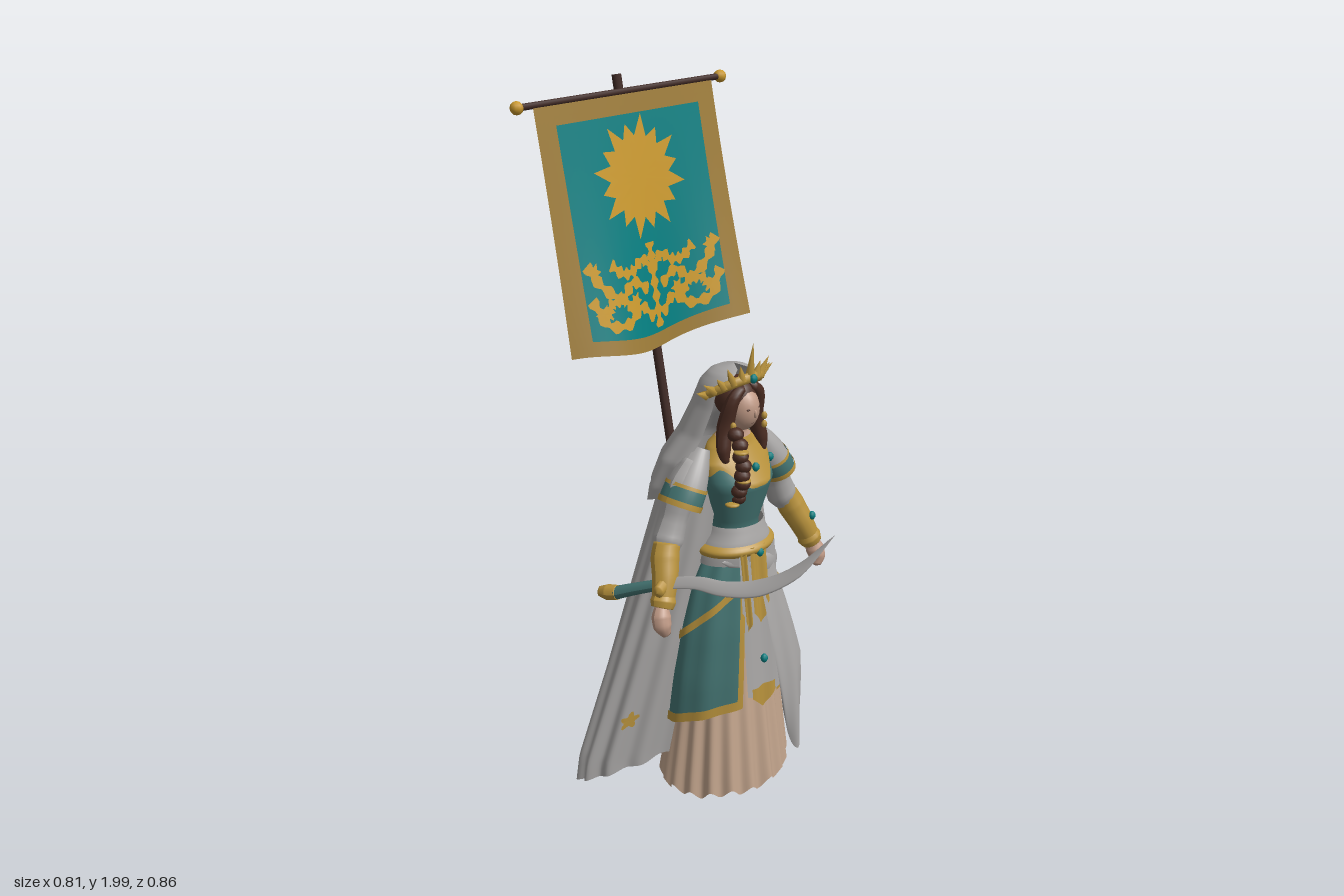
import * as THREE from 'three';

const mat = (name, color) => {
  const m = new THREE.MeshStandardMaterial({ color, side: THREE.DoubleSide });
  m.name = name;
  return m;
};
const V = (p) => new THREE.Vector3(p[0], p[1], p[2]);
const lerp = (a, b, t) => a + (b - a) * t;
const PI = Math.PI;

// Sheet built from a rule fn(u, v) -> [x, y, z]
function grid(fn, nu, nv) {
  const pos = [], idx = [];
  for (let j = 0; j <= nv; j++) for (let i = 0; i <= nu; i++) pos.push(...fn(i / nu, j / nv));
  for (let j = 0; j < nv; j++) for (let i = 0; i < nu; i++) {
    const a = j * (nu + 1) + i, b = a + 1, c = a + nu + 1, d = c + 1;
    idx.push(a, b, c, b, d, c);
  }
  const g = new THREE.BufferGeometry();
  g.setAttribute('position', new THREE.Float32BufferAttribute(pos, 3));
  g.setIndex(idx);
  g.computeVertexNormals();
  return g;
}

// Ellipse body from rows [y, rx, rz, centreZ]; angle 0 faces front, +x is a quarter turn
function body(rows) {
  return (a, y, off = 0) => {
    let i = 0;
    while (i < rows.length - 2 && y > rows[i + 1][0]) i++;
    const p = rows[i], q = rows[i + 1];
    const t = THREE.MathUtils.clamp((y - p[0]) / (q[0] - p[0]), 0, 1);
    return [(lerp(p[1], q[1], t) + off) * Math.sin(a), y, lerp(p[3], q[3], t) + (lerp(p[2], q[2], t) + off) * Math.cos(a)];
  };
}

// Round or flattened sweep through points [x, y, z, r]
function limb(pts, flat = 1, ref = [0, 0.1, 1], seg = 20, sides = 12) {
  const curve = new THREE.CatmullRomCurve3(pts.map(V)), n = pts.length - 1, R = V(ref);
  return grid((u, v) => {
    const c = curve.getPoint(v), T = curve.getTangent(v);
    const S = new THREE.Vector3().crossVectors(T, R).normalize();
    const N = new THREE.Vector3().crossVectors(S, T).normalize();
    const i = Math.min(Math.floor(v * n), n - 1);
    const r = v === 0 || v === 1 ? 0.0005 : lerp(pts[i][3], pts[i + 1][3], v * n - i);
    const a = u * PI * 2;
    return c.addScaledVector(S, r * Math.cos(a)).addScaledVector(N, r * flat * Math.sin(a)).toArray();
  }, sides, seg);
}

export function createModel() {
  const root = new THREE.Group();
  const white = mat('greyWhiteCloth', 0xa7a5a4), teal = mat('dressTeal', 0x447472), gold = mat('trimGold', 0xb8923c);
  const peach = mat('underskirtPeach', 0xc2a48c), skin = mat('skin', 0xc09a86), hair = mat('hairBrown', 0x4a2c22);
  const wood = mat('poleBrown', 0x402a25), flagTeal = mat('bannerTeal', 0x057e80);
  const flagGold = mat('bannerBorder', 0x9c7b38), sunGold = mat('sunGold', 0xc9982d);
  const add = (name, g, m) => {
    const mesh = new THREE.Mesh(g, m);
    mesh.name = name;
    root.add(mesh);
    return mesh;
  };
  const ball = (name, m, p, s, w = 20, h = 14) => {
    const mesh = add(name, new THREE.SphereGeometry(1, w, h), m);
    mesh.position.set(...p);
    mesh.scale.set(...s);
  };

  // Pole, crossbar and end knobs
  const rod = (name, a, b, r) => {
    const d = V(b).sub(V(a)), m = add(name, new THREE.CylinderGeometry(r, r, d.length(), 8), wood);
    m.position.copy(V(a)).addScaledVector(d, 0.5);
    m.quaternion.setFromUnitVectors(new THREE.Vector3(0, 1, 0), d.normalize());
  };
  rod('pole', [0, 0.8, -0.19], [0, 1.997, -0.418], 0.013);
  rod('crossbar', [-0.36, 1.955, -0.39], [0.36, 1.955, -0.39], 0.009);
  for (const s of [-1, 1]) ball('crossbarKnob', sunGold, [s * 0.365, 1.955, -0.39], [0.018, 0.018, 0.018], 8, 6);

  // Banner sheet with painted plates on both faces
  const flagBottom = (x) => 1.292 - 0.016 * Math.cos(x * 10);
  const flag = (x, y, off = 0) => {
    const t = (1.95 - y) / (1.95 - flagBottom(x));
    return [x, y, -0.38 + 0.13 * t + 0.025 * t * t * Math.cos((x + 0.15) * 13) + off];
  };
  add('banner', grid((u, v) => {
    const x = lerp(-0.32, 0.32, u);
    return flag(x, lerp(1.95, flagBottom(x), v));
  }, 40, 24), flagGold);
  const strokes = [
    [[0.02, 1.36], [0.07, 1.4], [0.13, 1.37], [0.2, 1.38], [0.24, 1.45]],
    [[0.03, 1.44], [0.09, 1.47], [0.14, 1.44], [0.2, 1.48], [0.24, 1.54]],
    [[0.1, 1.38], [0.13, 1.43], [0.18, 1.43], [0.2, 1.4]],
    [[0.0, 1.49], [0.04, 1.52], [0.08, 1.5], [0.12, 1.5], [0.16, 1.53]],
  ];
  for (const s of [-1, 1]) {
    add('bannerField', grid((u, v) => {
      const x = lerp(-0.257, 0.255, u);
      return flag(x, lerp(1.9, flagBottom(x) + 0.04, v), s * 0.003);
    }, 36, 24), flagTeal);
    const star = (name, cx, cy, r, R, n) => add(name, grid((u, v) => {
      const k = Math.round(u * n * 2), q = v * (k % 2 ? R * (k % 4 === 1 ? 1 : 0.87) : r), a = (k / n) * PI;
      return flag(cx + q * Math.sin(a), cy + q * Math.cos(a), s * 0.006);
    }, n * 2, 8), sunGold);
    star('sunEmblem', 0, 1.735, 0.108, 0.165, 16);
    const stroke = (pts, w) => {
      const c = new THREE.CatmullRomCurve3(pts.map((p) => new THREE.Vector3(p[0], p[1], 0)));
      add('bannerVine', grid((u, v) => {
        const p = c.getPoint(v), t = c.getTangent(v), k = (u - 0.5) * w * (1 + 0.5 * Math.sin(v * 40));
        return flag(p.x - t.y * k, p.y + t.x * k, s * 0.006);
      }, 2, 28), sunGold);
    };
    for (const m of [-1, 1]) {
      for (const p of strokes) stroke(p.map(([x, y]) => [x * m, y]), 0.025);
      for (const [x, y] of [[0.22, 1.52], [0.09, 1.42], [0.21, 1.41]]) star('bannerBlossom', m * x, y, 0.014, 0.028, 6);
    }
    stroke([[0, 1.33], [0, 1.45], [0, 1.56]], 0.025);
  }

  // Pleated underskirt
  const under = body([[0.04, 0.2, 0.165, -0.022], [0.35, 0.165, 0.12, -0.01], [0.65, 0.1, 0.08, 0.01]]);
  add('underskirt', grid((u, v) => {
    const a = lerp(-PI, PI, u), w = Math.sin(a * 19) + 0.4 * Math.sin(a * 7);
    return under(a, lerp(0.045 + 0.012 * w, 0.65, v), 0.008 * w * (1 - v));
  }, 190, 12), peach);

  // Split overskirt with gold hem, edges and side garlands
  const skirt = body([[0.24, 0.205, 0.135, -0.01], [0.4, 0.195, 0.128, 0], [0.55, 0.172, 0.118, 0.005],
    [0.68, 0.14, 0.1, 0.01], [0.76, 0.105, 0.085, 0.015], [0.82, 0.08, 0.07, 0.02]]);
  const hem = (a) => 0.235 + 0.085 * Math.cos(a / 2) ** 2;
  const open = 0.36;
  const skirtBand = (name, m, a0, a1, y0, y1, off, n = 60) => add(name, grid((u, v) => {
    const a = lerp(a0, a1, u);
    return skirt(a, lerp(y0(a), y1(a), v), off + 0.003 * Math.sin(a * 11));
  }, n, 14), m);
  skirtBand('overskirt', teal, open, 2 * PI - open, hem, () => 0.8, 0);
  skirtBand('overskirtHem', gold, open, 2 * PI - open, (a) => hem(a) - 0.004, (a) => hem(a) + 0.024, 0.004);
  for (const s of [-1, 1]) {
    skirtBand('overskirtEdge', gold, s * open, s * (open + 0.09), hem, () => 0.74, 0.004, 4);
    const sag = (a) => 0.68 - 0.16 * Math.max(0, 1 - Math.abs(Math.abs(a) - 1.75) / 1.39);
    skirtBand('hipGarland', gold, s * open, s * 2.1, sag, (a) => sag(a) + 0.026, 0.007, 24);
  }
  const panel = (name, m, x0, x1, y0, y1, z0, z1, tip) => add(name, grid((u, v) => [lerp(x0, x1, u),
    lerp(y1, y0 - tip * (1 - Math.abs(2 * u - 1)), v), lerp(z1, z0, v) + 0.004 * Math.sin(u * 9)], 10, 10), m);
  panel('frontPanel', white, -0.065, 0.075, 0.35, 0.78, 0.137, 0.1, 0.03);
  panel('frontPanelTip', gold, -0.05, 0.04, 0.34, 0.37, 0.142, 0.14, 0.04);
  panel('tabard', gold, -0.035, 0.025, 0.6, 0.79, 0.132, 0.112, 0.04);
  panel('beltPendant', gold, -0.068, -0.045, 0.58, 0.78, 0.134, 0.108, 0.03);

  // Waist wrap, belt, hip swag and hanging sash
  const waist = (name, m, y0, y1, off) => add(name, grid((u, v) => skirt(lerp(-PI, PI, u), lerp(y0, y1, v),
    off + 0.011 * Math.sin(v * PI)), 48, 8), m);
  waist('waistWrap', white, 0.74, 0.845, 0.005);
  waist('belt', gold, 0.765, 0.797, 0.014);
  add('hipSwag', limb([[-0.1, 0.755, 0.07, 0.012], [-0.02, 0.74, 0.1, 0.02], [0.06, 0.715, 0.098, 0.034], [0.115, 0.695, 0.05, 0.034], [0.13, 0.705, -0.02, 0.024], [0.11, 0.73, -0.06, 0.01]], 0.4), white);
  add('hangingSash', grid((u, v) => {
    const x = lerp(lerp(0.0, 0.05, v * v), lerp(0.06, 0.13, Math.min(1, v * 1.6)), u);
    const y = 0.73 - v * (0.42 + 0.17 * Math.sin(u * 2.6 + 0.2));
    return [x, y, 0.108 + 0.055 * Math.sin(v * 1.9) + 0.022 * v * Math.sin(u * PI) + 0.005 * Math.sin(u * 10 + v * 2) * v];
  }, 30, 24), white);

  // Bodice, gold neckline, neck
  const torso = body([[0.76, 0.085, 0.07, 0.01], [0.84, 0.072, 0.06, 0.02], [0.92, 0.095, 0.073, 0.03],
    [0.97, 0.108, 0.082, 0.035], [1.03, 0.105, 0.062, 0.02], [1.07, 0.075, 0.05, 0.01], [1.1, 0.036, 0.036, 0.015], [1.16, 0.032, 0.032, 0.02]]);
  const wrap = (name, m, y0, y1, off) => add(name, grid((u, v) => {
    const a = lerp(-PI, PI, u);
    return torso(a, lerp(y0(a), y1, v), off);
  }, 48, 18), m);
  wrap('bodice', teal, () => 0.78, 1.06, 0);
  wrap('neckline', gold, (a) => 0.965 + 0.045 * Math.min(1, Math.abs(a)) - 0.012 * Math.sin(Math.abs(a) * 5), 1.09, 0.004);
  wrap('neck', skin, () => 1.06, 1.16, 0.002);

  // Head, face and hair
  ball('head', skin, [0, 1.172, 0.043], [0.047, 0.064, 0.055]);
  ball('nose', skin, [0, 1.165, 0.096], [0.005, 0.012, 0.007], 8, 6);
  ball('mouth', hair, [0, 1.138, 0.086], [0.009, 0.002, 0.003], 8, 6);
  ball('hairCap', hair, [0, 1.197, 0.025], [0.06, 0.06, 0.058]);
  for (const s of [-1, 1]) {
    ball('eye', hair, [s * 0.018, 1.179, 0.09], [0.008, 0.003, 0.004], 8, 6);
    add('hairLock', limb([[s * 0.012, 1.24, 0.066, 0.012], [s * 0.046, 1.21, 0.062, 0.018], [s * 0.057, 1.13, 0.042, 0.024], [s * 0.072, 1.07, 0.05, 0.02], [s * 0.072, 1.03, 0.06, 0.008]]), hair);
    for (const y of [1.14, 1.115]) ball('earring', gold, [s * 0.06, y, 0.074], [0.008, 0.011, 0.008], 8, 6);
  }
  for (let i = 0; i < 8; i++) ball('braid', hair, [-0.062 - 0.012 * Math.sin(i * 0.5) + 0.006 * (i % 2), 1.12 - i * 0.026, 0.085 + 0.035 * Math.sin(i * 0.45)], [0.023, 0.02, 0.022], 10, 8);
  for (const i of [1.5, 4.5, 7.6]) ball('braidTie', gold, [-0.072, 1.12 - i * 0.026, 0.092 + 0.035 * Math.sin(i * 0.45)], [0.02, 0.007, 0.021], 10, 8);

  // Sunray crown
  const crownAt = (a) => [0.094 * Math.sin(a), 1.21 + 0.052 * Math.cos(a), -0.008 + 0.085 * Math.cos(a)];
  add('crownBand', limb([-1.45, -1, -0.5, 0, 0.5, 1, 1.45].map((a) => [...crownAt(a), 0.015]), 0.7, [0, 0, 1], 30, 8), gold);
  for (let i = -5; i <= 5; i++) {
    const a = i * 0.28, L = i === 0 ? 0.1 : i % 2 ? 0.045 : 0.058;
    const d = new THREE.Vector3(Math.sin(a), 0.25 + 0.75 * Math.cos(a), 0.12).normalize();
    const ray = add('crownRay', new THREE.ConeGeometry(0.014, L, 5), gold);
    ray.position.copy(V(crownAt(a))).addScaledVector(d, L / 2);
    ray.quaternion.setFromUnitVectors(new THREE.Vector3(0, 1, 0), d);
  }

  // Jewels
  for (const p of [[0, 1.262, 0.09], [0, 1.015, 0.1], [0, 0.77, 0.118], [-0.057, 0.68, 0.126], [0, 0.45, 0.137], [0.11, 1.0, 0.05], [0.285, 0.77, 0.055]])
    ball('jewel', flagTeal, p, [0.011, 0.013, 0.01], 8, 6);

  // Arms: puffed sleeve, banded shoulder, bracer, hand
  for (const s of [-1, 1]) {
    const m = (pts) => pts.map(([x, ...rest]) => [s * x, ...rest]);
    add('sleeve', limb(m([[0.12, 1.05, 0, 0.03], [0.17, 0.98, -0.005, 0.045], [0.2, 0.9, -0.01, 0.038], [0.225, 0.84, -0.01, 0.044], [0.25, 0.8, 0, 0.03]])), white);
    const guard = (name, mt, t0, t1, k) => add(name, grid((u, v) => {
      const t = lerp(t0, t1, v), a = u * PI * 2, r = k + 0.026 + 0.032 * Math.sin(t * 1.75);
      return [s * (0.105 + 0.08 * t + r * 0.8 * Math.cos(a)), 1.072 - 0.138 * t + r * 0.4 * Math.cos(a), r * 1.05 * Math.sin(a) - 0.003];
    }, 28, 10), mt);
    guard('shoulderCap', white, 0, 0.72, 0);
    guard('shoulderBand', teal, 0.68, 1, 0.002);
    guard('shoulderTrimTop', gold, 0.66, 0.72, 0.004);
    guard('shoulderTrimBottom', gold, 0.94, 1.04, 0.005);
    add('bracer', limb(m([[0.232, 0.84, -0.005, 0.036], [0.25, 0.8, 0.005, 0.04], [0.27, 0.75, 0.025, 0.036], [0.297, 0.685, 0.042, 0.03]])), gold);
    add('bracerCuff', limb(m([[0.284, 0.715, 0.034, 0.03], [0.292, 0.697, 0.039, 0.036], [0.3, 0.68, 0.042, 0.03]])), gold);
    add('hand', limb(m([[0.297, 0.69, 0.04, 0.018], [0.307, 0.66, 0.047, 0.027], [0.31, 0.635, 0.055, 0.025], [0.3, 0.607, 0.06, 0.012]])), skin);
  }

  // Curved sword
  add('swordGrip', limb([[-0.335, 0.685, -0.11, 0.019], [-0.31, 0.71, -0.05, 0.017], [-0.275, 0.74, 0.03, 0.015]], 1, [0, 1, 0]), teal);
  add('swordPommel', limb([[-0.345, 0.68, -0.155, 0.014], [-0.338, 0.683, -0.13, 0.022], [-0.328, 0.69, -0.095, 0.02]], 1, [0, 1, 0]), gold);
  add('swordGuard', limb([[-0.325, 0.735, 0.05, 0.016], [-0.275, 0.745, 0.035, 0.024], [-0.235, 0.75, 0.03, 0.014]], 0.8), gold);
  add('swordBlade', limb([[-0.275, 0.742, 0.03, 0.018], [-0.245, 0.762, 0.12, 0.019], [-0.225, 0.765, 0.2, 0.022], [-0.185, 0.785, 0.29, 0.026], [-0.13, 0.84, 0.37, 0.02], [-0.06, 0.937, 0.432, 0.001]], 0.25, [1, -1, 0], 30), white);

  // Long pleated cape with gold blossoms in front
  const cape = body([[0, 0.405, 0.14, -0.19], [0.15, 0.388, 0.14, -0.18], [0.5, 0.285, 0.135, -0.13], [0.8, 0.195, 0.125, -0.09], [1.02, 0.14, 0.105, -0.06]]);
  const capeAt = (a, y, off = 0) => cape(a, y, off + 0.012 * (1 - y) * Math.sin((PI - Math.abs(a - PI)) * 17 + 1));
  add('cape', grid((u, v) => {
    const a = lerp(0.5, 2 * PI - 0.5, u);
    return capeAt(a, lerp(0.006 + 0.085 * (1 + Math.cos(a)) ** 0.8, 1.02, v));
  }, 160, 40), white);
  for (const c of [1.05, 2 * PI - 1.05]) add('capeBlossom', grid((u, v) => {
    const r = v * (1 + 0.3 * Math.sin(u * PI * 10)), t = u * PI * 2;
    return capeAt(c + 0.09 * r * Math.cos(t), 0.285 + 0.022 * r * Math.sin(t), 0.005);
  }, 30, 4), gold);

  // Hood flowing into a shoulder mantle
  const hood = body([[0.86, 0.19, 0.118, -0.097], [0.95, 0.19, 0.126, -0.078], [1.03, 0.168, 0.13, -0.05], [1.1, 0.124, 0.115, -0.025],
    [1.18, 0.095, 0.099, -0.005], [1.24, 0.081, 0.083, 0.005], [1.27, 0.06, 0.062, 0.012], [1.285, 0.03, 0.034, 0.016], [1.29, 0.001, 0.001, 0.018]]);
  add('hood', grid((u, v) => {
    const e = 1.25 - 0.85 * Math.max(0, (v - 0.85) / 0.15), a = lerp(e, 2 * PI - e, u);
    const low = 0.875 + 0.05 * (1 + Math.cos(a));
    return hood(a, lerp(low, 1.29, v), 0.006 * Math.sin(u * 40) * (1 - v) ** 2);
  }, 70, 40), white);

  return root;
}
